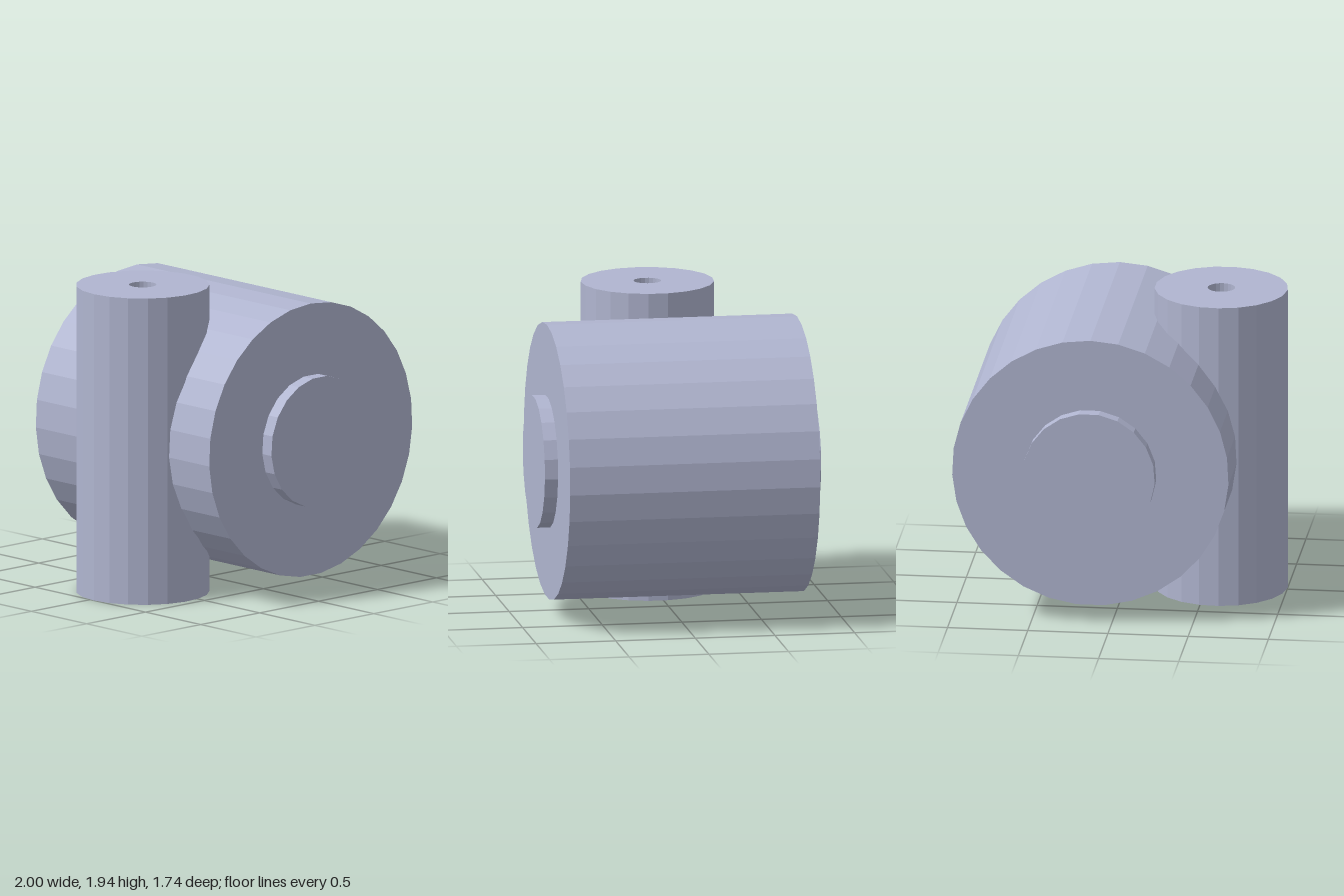
import * as THREE from 'three';

const bodyGrey = new THREE.MeshStandardMaterial({ color: 0xb0b5d0 });
bodyGrey.name = 'bodyGrey';

// Faceted mesh with one normal per face
function addPart(group, name, geometry, x, y, z) {
  const faceted = geometry.toNonIndexed();
  faceted.computeVertexNormals();
  const mesh = new THREE.Mesh(faceted, bodyGrey);
  mesh.name = name;
  mesh.position.set(x, y, z);
  group.add(mesh);
}

export function createModel() {
  const model = new THREE.Group();
  model.name = 'crossedCylinders';
  const drumX = 0.135, axisY = 0.97;

  // Large drum lying along z, with a facet corner at its top
  const drum = new THREE.CylinderGeometry(0.862, 0.862, 1.57, 31).rotateX(-Math.PI / 2);
  addPart(model, 'drum', drum, drumX, axisY, 0);

  // Raised round boss on each end of the drum, with a facet corner at its bottom
  for (const [name, side] of [['frontBoss', 1], ['backBoss', -1]]) {
    const boss = new THREE.CylinderGeometry(0.412, 0.412, 0.185, 21).rotateX(Math.PI / 2);
    addPart(model, name, boss, drumX, axisY, side * 0.775);
  }

  // Upright post with a narrow bore through it
  const outer = 0.414, bore = 0.085, height = 1.94;
  const profile = [[bore, 0], [outer, 0], [outer, height], [bore, height], [bore, 0]]
    .map(([r, y]) => new THREE.Vector2(r, y));
  const post = new THREE.LatheGeometry(profile, 21, -Math.PI / 2);
  addPart(model, 'post', post, -0.586, 0, 0.033);

  return model;
}
